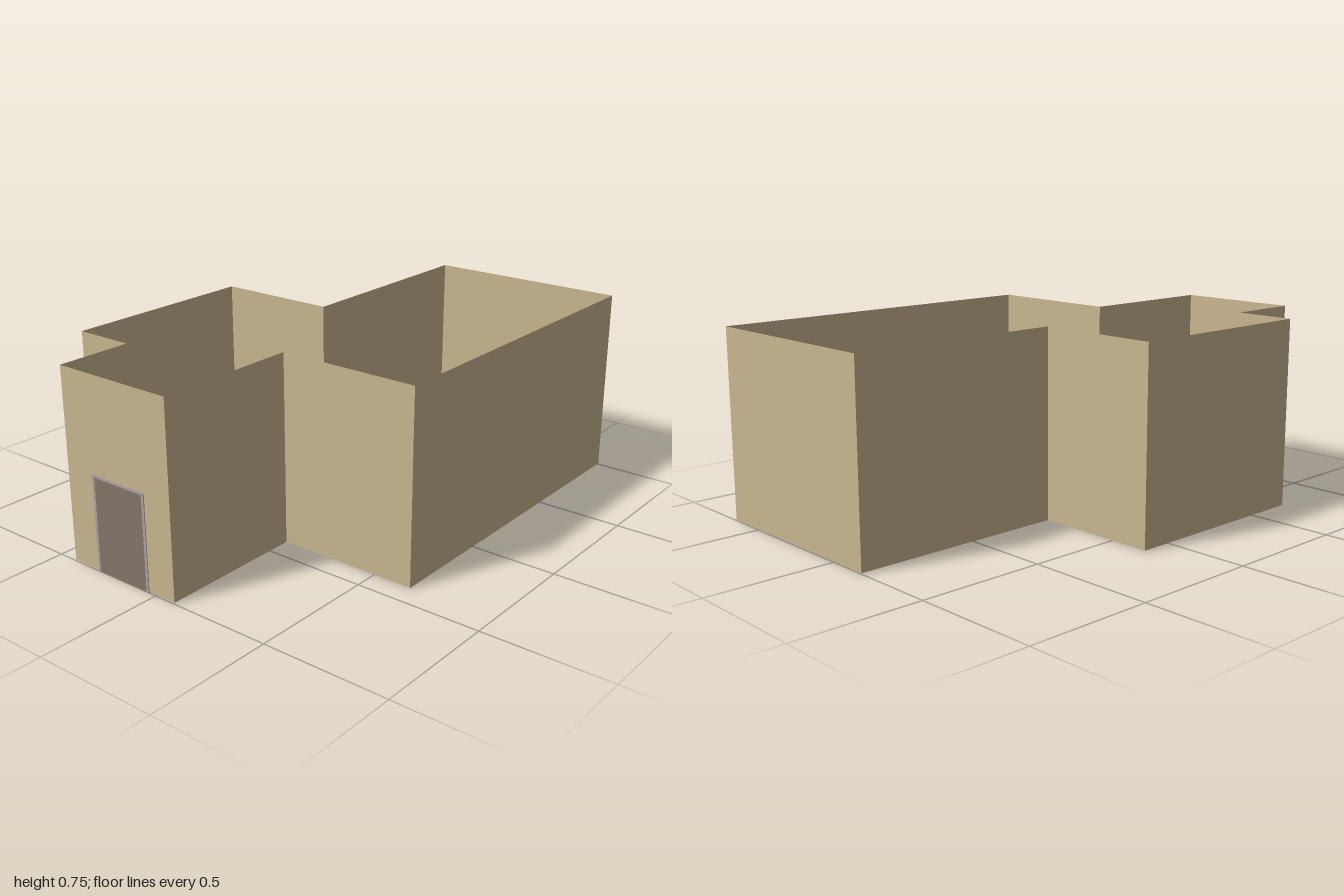
import * as THREE from 'three';

const H = 0.755, FLOOR = 0.003, FRONT = 0.997;

// Room outline as [x, z]; the first edge is the front wall
const OUTLINE = [
  [-0.42, FRONT], [0.09, FRONT], [0.09, 0.41], [0.66, 0.41], [0.66, -1],
  [-0.165, -1], [-0.165, -0.13], [-0.665, -0.13], [-0.665, 0.69], [-0.42, 0.69],
];

const mat = (color, side = THREE.FrontSide) =>
  new THREE.MeshStandardMaterial({ color, side, flatShading: true });

const wallMat = mat(0xc9b68f, THREE.DoubleSide);
const floorMat = mat(0xada4a7, THREE.DoubleSide);
const blackMat = mat(0x0c0c0c);
const ropeMat = mat(0x2a2450);
const trimMat = mat(0xada3a3);
const frameMat = mat(0x3a3022);
const doorMat = mat(0x85776a);
const postMat = new THREE.MeshStandardMaterial({ color: 0x0c0c0c });

function add(parent, name, geometry, material, x = 0, y = 0, z = 0) {
  const mesh = new THREE.Mesh(geometry, material);
  mesh.name = name;
  mesh.position.set(x, y, z);
  parent.add(mesh);
  return mesh;
}

// Box given by its limits
function block(parent, name, material, x0, x1, y0, y1, z0, z1) {
  return add(parent, name, new THREE.BoxGeometry(x1 - x0, y1 - y0, z1 - z0), material,
    (x0 + x1) / 2, (y0 + y1) / 2, (z0 + z1) / 2);
}

function createWalls() {
  const walls = new THREE.Group();
  walls.name = 'walls';
  OUTLINE.forEach(([x0, z0], i) => {
    const [x1, z1] = OUTLINE[(i + 1) % OUTLINE.length];
    if (i === 0) {
      // Front wall with the doorway cut out
      const s = new THREE.Shape([
        [x0, FLOOR], [-0.28, FLOOR], [-0.28, 0.37], [-0.045, 0.37],
        [-0.045, FLOOR], [x1, FLOOR], [x1, H], [x0, H],
      ].map(([x, y]) => new THREE.Vector2(x, y)));
      add(walls, 'frontWall', new THREE.ShapeGeometry(s), wallMat, 0, 0, FRONT);
      return;
    }
    const length = Math.hypot(x1 - x0, z1 - z0);
    const wall = add(walls, 'wall', new THREE.PlaneGeometry(length, H - FLOOR), wallMat,
      (x0 + x1) / 2, (H + FLOOR) / 2, (z0 + z1) / 2);
    wall.rotation.y = Math.atan2(-(z1 - z0), x1 - x0);
  });
  return walls;
}

function createDoor() {
  const door = new THREE.Group();
  door.name = 'door';
  block(door, 'doorPanel', doorMat, -0.28, -0.045, 0, 0.37, 0.993, 0.999);
  // Casing: pale trim outside, deeper dark frame inside
  for (const [name, m, z0, z1] of [
    ['outerTrim', trimMat, FRONT, 1], ['innerFrame', frameMat, 0.98, 0.996],
  ]) {
    block(door, name, m, -0.292, -0.28, 0, 0.38, z0, z1);
    block(door, name, m, -0.045, -0.033, 0, 0.38, z0, z1);
    block(door, name, m, -0.28, -0.045, 0.37, 0.38, z0, z1);
  }
  return door;
}

// Display pedestal fenced by four posts and ropes
function createDisplay() {
  const display = new THREE.Group();
  display.name = 'display';
  block(display, 'pedestal', blackMat, -0.046, 0.046, 0, 0.22, -0.046, 0.046);
  const r = 0.076, top = 0.13;
  const profile = [[0, 0], [0.021, 0], [0.021, 0.006], [0.005, 0.012], [0.005, top - 0.006],
    [0.008, top - 0.002], [0.008, top + 0.004], [0, top + 0.008]]
    .map(([x, y]) => new THREE.Vector2(x, y));
  const postGeo = new THREE.LatheGeometry(profile, 16);
  const rope = new THREE.QuadraticBezierCurve3(
    new THREE.Vector3(-r, top - 0.01, r), new THREE.Vector3(0, top - 0.05, r),
    new THREE.Vector3(r, top - 0.01, r));
  const ropeGeo = new THREE.TubeGeometry(rope, 10, 0.003, 6);
  for (let i = 0; i < 4; i++) {
    const side = new THREE.Group();
    side.name = 'barrierSide';
    side.rotation.y = i * Math.PI / 2;
    add(side, 'post', postGeo, postMat, r, 0, r);
    add(side, 'rope', ropeGeo, ropeMat);
    display.add(side);
  }
  return display;
}

export function createModel() {
  const model = new THREE.Group();
  model.name = 'galleryRoom';

  const floorShape = new THREE.Shape(OUTLINE.map(([x, z]) => new THREE.Vector2(x, -z)));
  const floor = add(model, 'floor', new THREE.ShapeGeometry(floorShape), floorMat, 0, FLOOR, 0);
  floor.rotation.x = -Math.PI / 2;

  model.add(createWalls(), createDoor());

  // Row of displays along the left wall
  for (let i = 0; i < 5; i++) {
    const display = createDisplay();
    display.position.set(0.482, 0, -0.8 + i * 0.2535);
    model.add(display);
  }
  return model;
}
